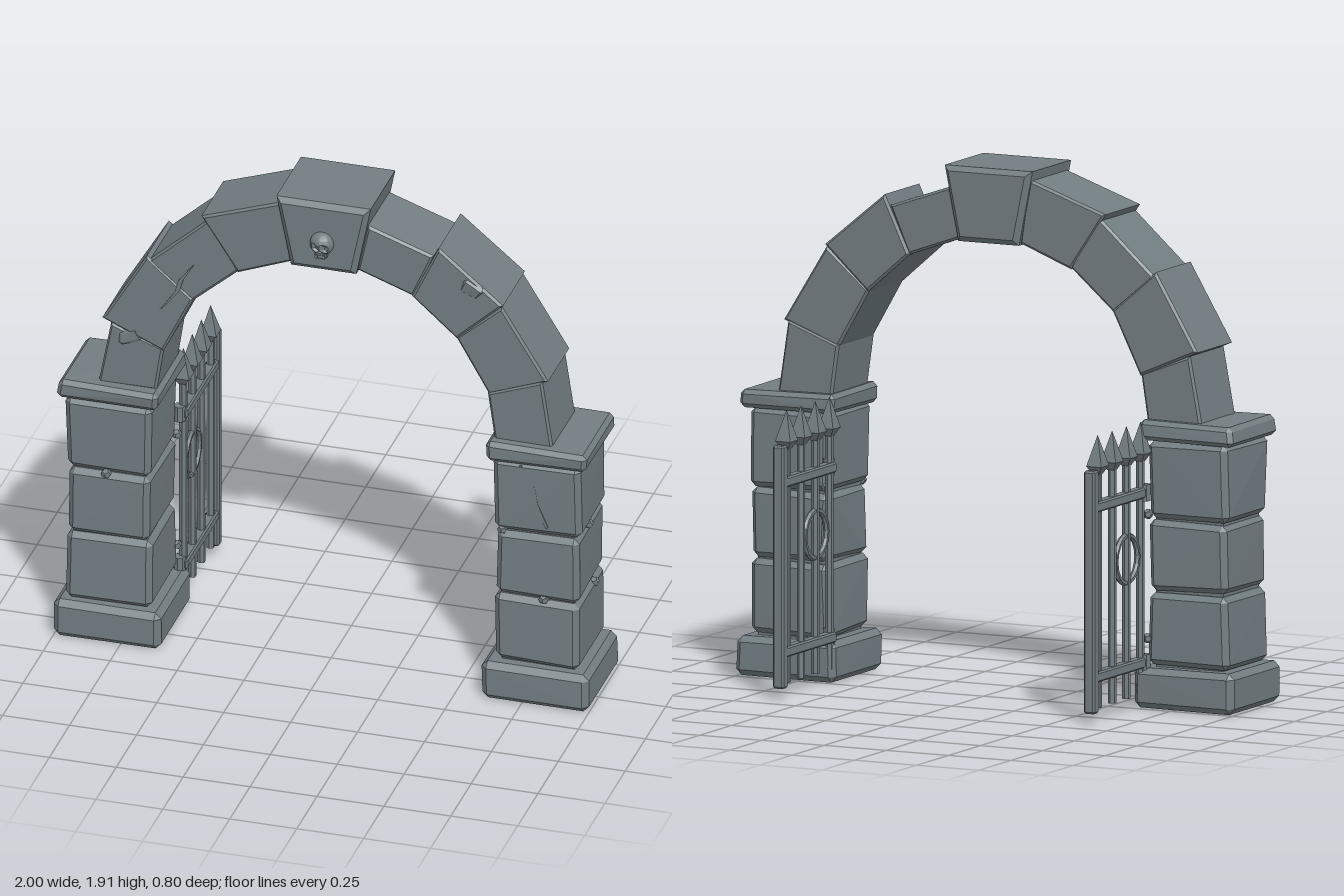
import * as THREE from 'three';
import { ConvexGeometry } from 'three/addons/geometries/ConvexGeometry.js';

const stone = new THREE.MeshStandardMaterial({ color: 0x727d82 });
stone.name = 'grey stone';

// small seeded noise for hand-cut edges
let seed = 7;
const wobble = (a) => {
  seed = (seed * 16807) % 2147483647;
  return (seed / 2147483647 - 0.5) * 2 * a;
};

function add(parent, name, geometry, x = 0, y = 0, z = 0) {
  const g = geometry.index ? geometry.toNonIndexed() : geometry;
  g.computeVertexNormals();
  const mesh = new THREE.Mesh(g, stone);
  mesh.name = name;
  mesh.position.set(x, y, z);
  parent.add(mesh);
  return mesh;
}

// box with chamfered edges and slightly uneven corners
function block(w, h, d, c, uneven = 0) {
  const pts = [];
  for (const sx of [-1, 1]) for (const sy of [-1, 1]) for (const sz of [-1, 1]) {
    const x = sx * (w / 2 + wobble(uneven));
    const y = sy * (h / 2 + wobble(uneven));
    const z = sz * (d / 2 + wobble(uneven));
    pts.push(
      new THREE.Vector3(x, y - sy * c, z - sz * c),
      new THREE.Vector3(x - sx * c, y, z - sz * c),
      new THREE.Vector3(x - sx * c, y - sy * c, z));
  }
  return new ConvexGeometry(pts);
}

// bevelled slab cut from an outline in the xy plane
function slab(points, z0, z1, bevel) {
  const shape = new THREE.Shape(points.map(([x, y]) => new THREE.Vector2(x, y)));
  const g = new THREE.ExtrudeGeometry(shape, {
    depth: z1 - z0 - 2 * bevel, bevelEnabled: bevel > 0, bevelThickness: bevel,
    bevelSize: bevel, bevelOffset: -bevel, bevelSegments: 1,
  });
  return g.translate(0, 0, z0 + bevel);
}

// thin jagged crack lying on a front face
function crack(path, z) {
  const n = path.length - 1;
  const side = (s) => path.map(([x, y], i) => [x + s * (i === 0 || i === n ? 0.004 : 0.009), y + s * 0.003]);
  return slab([...side(-1), ...side(1).reverse()], z - 0.002, z + 0.003, 0);
}

function pillar(side) {
  const g = new THREE.Group();
  g.name = side < 0 ? 'rightPillar' : 'leftPillar';
  const x = side * 0.8;
  add(g, 'plinth', block(0.4, 0.147, 0.395, 0.022, 0.002), x, 0.074, 0.193);
  [[0.155, 0.42, 0.32], [0.425, 0.68, 0.305], [0.685, 0.97, 0.318]].forEach(([y0, y1, w], i) =>
    add(g, 'pillarBlock' + (i + 1), block(w, y1 - y0, 0.33, 0.02, 0.006), x, (y0 + y1) / 2, 0.195));
  // mortar core closes the joints
  add(g, 'mortarCore', new THREE.BoxGeometry(0.27, 0.9, 0.28), x, 0.55, 0.195);
  add(g, 'capital', block(0.375, 0.07, 0.365, 0.016, 0.004), x, 1.004, 0.195);
  return g;
}

function gate(side) {
  const g = new THREE.Group();
  g.name = side < 0 ? 'rightGate' : 'leftGate';
  g.position.x = side * 0.625;
  // spear-topped bars
  for (const z of [0.01, -0.1, -0.212, -0.325]) {
    add(g, 'bar', new THREE.CylinderGeometry(0.015, 0.015, 0.86, 6), 0, 0.48, z);
    const spear = new THREE.LatheGeometry([[0, 0.895], [0.018, 0.895], [0.043, 0.925], [0, 1.037]]
      .map(([r, y]) => new THREE.Vector2(r, y)), 4);
    add(g, 'spearHead', spear.rotateY(Math.PI / 4), 0, 0, z);
  }
  add(g, 'endPost', block(0.044, 0.88, 0.04, 0.007), 0, 0.475, -0.375);
  for (const y of [0.165, 0.78]) {
    add(g, 'rail', block(0.042, 0.038, 0.42, 0.006), 0, y, -0.18);
    add(g, 'hinge', new THREE.CylinderGeometry(0.022, 0.022, 0.06, 8), side * 0.01, y, 0.025);
  }
  add(g, 'ring', new THREE.TorusGeometry(0.086, 0.011, 6, 18).rotateY(Math.PI / 2), 0, 0.555, -0.1);
  return g;
}

function skull() {
  const g = new THREE.Group();
  g.name = 'skull';
  g.position.set(0, 1.75, 0.358);
  const dome = new THREE.SphereGeometry(0.045, 16, 12);
  const p = dome.attributes.position;
  // press in the eye sockets and nose
  for (let i = 0; i < p.count; i++) {
    const x = p.getX(i), y = p.getY(i), z = p.getZ(i);
    if (z < 0.01) continue;
    const eye = Math.hypot(Math.abs(x) - 0.018, y + 0.006);
    const nose = Math.hypot(x, y + 0.026);
    if (eye < 0.012 || nose < 0.006) p.setZ(i, z - 0.014);
  }
  add(g, 'cranium', dome);
  add(g, 'jaw', block(0.046, 0.03, 0.04, 0.006), 0, -0.038, 0.01);
  for (const x of [-0.014, 0, 0.014])
    add(g, 'tooth', new THREE.BoxGeometry(0.009, 0.014, 0.006), x, -0.042, 0.031);
  return g;
}

export function createModel() {
  const model = new THREE.Group();
  model.name = 'gateArch';
  for (const side of [-1, 1]) model.add(pillar(side), gate(side));

  // arch stones: inner start, inner end, outer end, outer start
  const stones = [
    [[-0.63, 1.03], [-0.603, 1.205], [-0.8, 1.28], [-0.847, 1.03]],
    [[-0.603, 1.195], [-0.49, 1.425], [-0.665, 1.575], [-0.832, 1.295]],
    [[-0.495, 1.415], [-0.32, 1.567], [-0.42, 1.77], [-0.66, 1.555]],
    [[-0.325, 1.56], [-0.12, 1.64], [-0.155, 1.875], [-0.462, 1.768]],
    [[0.12, 1.64], [0.33, 1.565], [0.405, 1.74], [0.16, 1.825]],
    [[0.325, 1.567], [0.493, 1.42], [0.665, 1.58], [0.425, 1.778]],
    [[0.488, 1.425], [0.612, 1.21], [0.832, 1.295], [0.66, 1.573]],
    [[0.608, 1.22], [0.635, 1.03], [0.852, 1.03], [0.812, 1.295]],
  ];
  stones.forEach((s, i) => add(model, 'archStone' + (i + 1),
    slab(s, 0.052 - (i % 2) * 0.005, 0.328 + (i % 2) * 0.005, 0.009)));
  add(model, 'keystone',
    slab([[-0.122, 1.633], [0.122, 1.633], [0.176, 1.905], [-0.176, 1.905]], 0.02, 0.362, 0.02));
  model.add(skull());

  // cracks
  add(model, 'archCrack', crack([[-0.61, 1.37], [-0.55, 1.45], [-0.535, 1.5], [-0.49, 1.565]], 0.335));
  add(model, 'pillarCrack', crack([[0.74, 0.96], [0.787, 0.87], [0.797, 0.81], [0.84, 0.72]], 0.361));

  // broken chips in the arch
  for (const [x, y, tilt] of [[-0.73, 1.235, 0.25], [0.545, 1.63, -0.5]])
    add(model, 'chip', block(0.09, 0.06, 0.03, 0.012, 0.006), x, y, 0.322).rotation.z = tilt;

  // pebbles lodged in the pillar joints
  for (const [x, y, z] of [[-0.81, 0.675, 0.35], [0.67, 0.685, 0.35], [0.825, 0.422, 0.35],
    [0.95, 0.68, 0.215], [0.95, 0.405, 0.14], [0.65, 0.7, 0.04], [-0.64, 0.25, 0.04], [-0.64, 0.7, 0.04]])
    add(model, 'pebble', new THREE.DodecahedronGeometry(0.019), x, y, z);
  return model;
}
